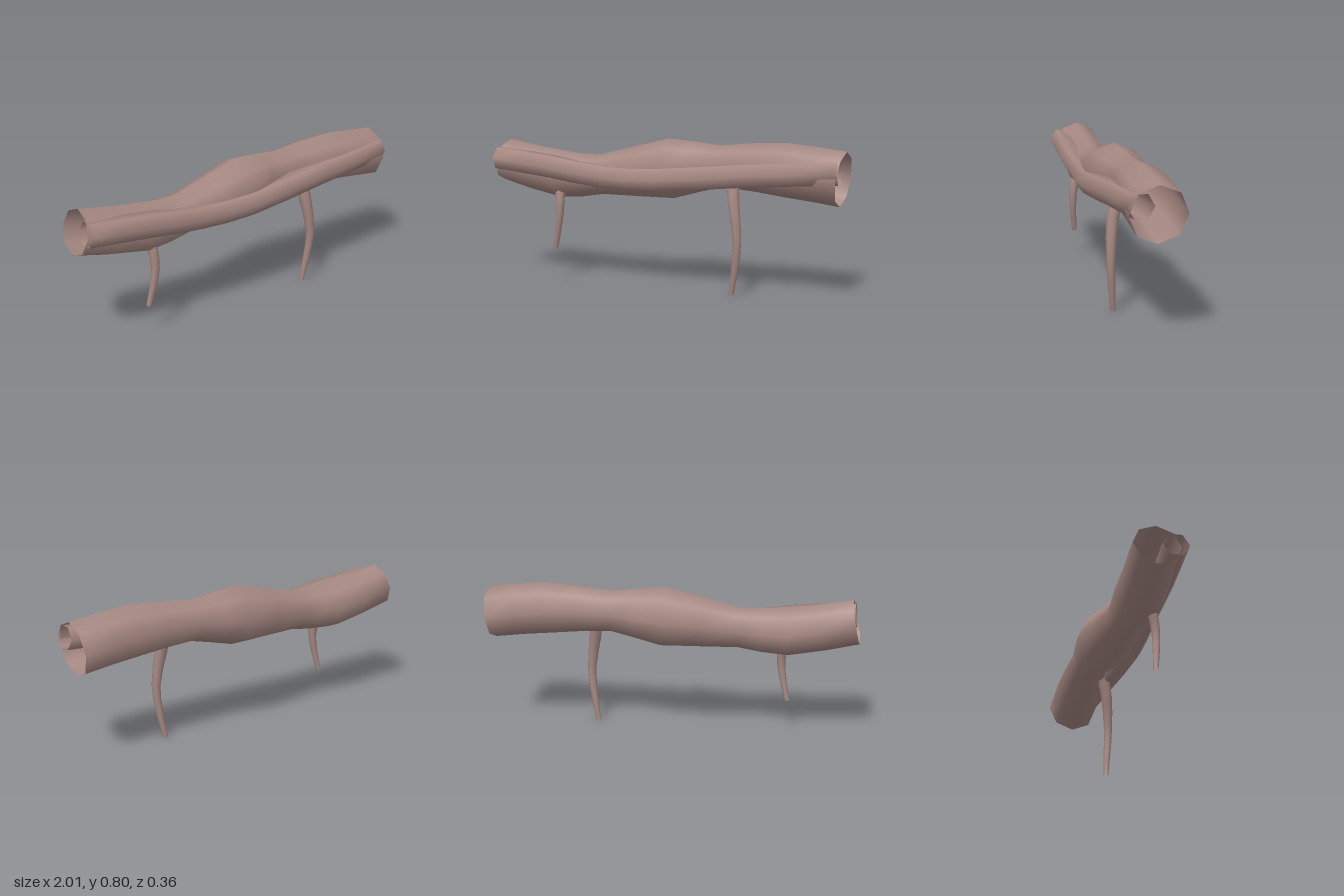
import * as THREE from 'three';

const bark = new THREE.MeshStandardMaterial({ color: 0xa68882, side: THREE.DoubleSide });

// Open tube through rows of [x, y, z, radius]; the first corner of each ring points towards 'up'.
function limb(name, rows, sides, up, steps = 2) {
  const curve = new THREE.CatmullRomCurve3(rows.map(([x, y, z]) => new THREE.Vector3(x, y, z)));
  const count = (rows.length - 1) * steps;
  const positions = [], index = [];
  for (let i = 0; i <= count; i++) {
    const k = Math.min(Math.floor(i / steps), rows.length - 2);
    const radius = THREE.MathUtils.lerp(rows[k][3], rows[k + 1][3], i / steps - k);
    const centre = curve.getPoint(i / count);
    const t = curve.getTangent(i / count);
    const u = up.clone().addScaledVector(t, -up.dot(t)).normalize();
    const v = t.clone().cross(u);
    for (let j = 0; j < sides; j++) {
      const a = (j / sides) * Math.PI * 2;
      const p = centre.clone()
        .addScaledVector(u, Math.cos(a) * radius)
        .addScaledVector(v, Math.sin(a) * radius);
      positions.push(p.x, p.y, p.z);
      if (i < count) {
        const n = (j + 1) % sides;
        const r0 = i * sides, r1 = r0 + sides;
        index.push(r0 + j, r0 + n, r1 + j, r0 + n, r1 + n, r1 + j);
      }
    }
  }
  const geometry = new THREE.BufferGeometry();
  geometry.setAttribute('position', new THREE.Float32BufferAttribute(positions, 3));
  geometry.setIndex(index);
  geometry.computeVertexNormals();
  const mesh = new THREE.Mesh(geometry, bark);
  mesh.name = name;
  return mesh;
}

export function createModel() {
  const group = new THREE.Group();
  group.name = 'hollowBranch';
  const Y = new THREE.Vector3(0, 1, 0), Z = new THREE.Vector3(0, 0, 1);

  // Thick hollow branch with swellings
  group.add(limb('mainBranch', [
    [-0.983, 0.652, -0.01, 0.12],
    [-0.62, 0.585, 0.0, 0.132],
    [-0.37, 0.594, 0.0, 0.11],
    [0.04, 0.643, -0.02, 0.162],
    [0.32, 0.665, -0.037, 0.111],
    [0.68, 0.664, -0.018, 0.141],
    [0.99, 0.63, -0.013, 0.142],
  ], 8, Y));

  // Thinner six-sided branch grown along the front
  group.add(limb('frontBranch', [
    [-0.98, 0.67, 0.085, 0.068],
    [-0.65, 0.638, 0.1, 0.068],
    [-0.3, 0.592, 0.095, 0.066],
    [0, 0.594, 0.11, 0.068],
    [0.5, 0.637, 0.095, 0.067],
    [0.99, 0.67, 0.07, 0.066],
  ], 6, Z));

  // Hanging twigs
  group.add(limb('longTwig', [
    [0.42, 0.63, 0.045, 0.034],
    [0.435, 0.5, 0.077, 0.033],
    [0.463, 0.3, 0.094, 0.024],
    [0.45, 0.15, 0.086, 0.02],
    [0.425, 0.003, 0.073, 0.014],
  ], 8, Z));
  group.add(limb('shortTwig', [
    [-0.605, 0.56, 0.045, 0.03],
    [-0.594, 0.48, 0.075, 0.027],
    [-0.59, 0.38, 0.088, 0.022],
    [-0.605, 0.28, 0.084, 0.018],
    [-0.628, 0.175, 0.073, 0.014],
  ], 8, Z));
  return group;
}
